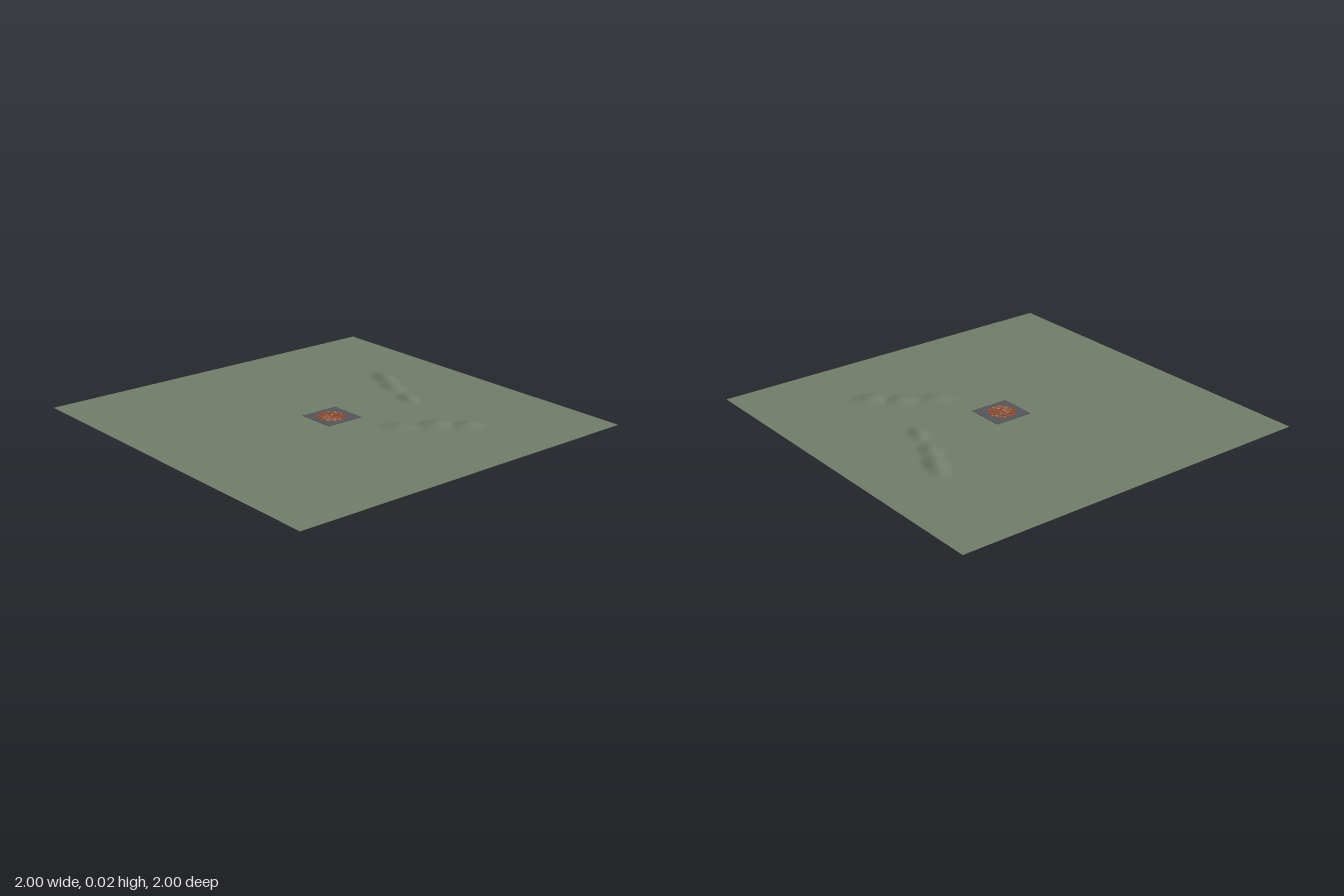
import * as THREE from 'three';
import { mergeGeometries } from 'three/addons/utils/BufferGeometryUtils.js';

const mat = (name, color, side = THREE.FrontSide) => {
  const m = new THREE.MeshStandardMaterial({ color, side });
  m.name = name;
  return m;
};

// Mounds of the two low ridges: x, z, half length, half width, height, heading
const MOUNDS = [
  [0.475, 0.05, 0.11, 0.06, 0.018, [0.28, -0.96]],
  [0.54, -0.14, 0.12, 0.07, 0.020, [0.28, -0.96]],
  [0.605, -0.27, 0.17, 0.07, 0.023, [0.35, -0.94]],
  [0.15, 0.34, 0.12, 0.085, 0.013, [0.77, 0.64]],
  [0.31, 0.43, 0.11, 0.09, 0.019, [0.77, 0.64]],
  [0.42, 0.54, 0.11, 0.09, 0.018, [0.77, 0.64]],
];

function groundHeight(x, z) {
  let y = 0;
  for (const [cx, cz, len, wid, h, [ux, uz]] of MOUNDS) {
    const dx = x - cx, dz = z - cz;
    const d = Math.hypot((dx * ux + dz * uz) / len, (dz * ux - dx * uz) / wid);
    if (d < 1) y = Math.max(y, h * 0.5 * (1 + Math.cos(Math.PI * d)));
  }
  return y;
}

export function createModel() {
  const model = new THREE.Group();
  model.name = 'groundWithPavedCircle';
  const add = (name, geometry, material) => {
    const mesh = new THREE.Mesh(geometry, material);
    mesh.name = name;
    model.add(mesh);
    return mesh;
  };

  // Square ground sheet, raised into two rows of smooth mounds
  const ground = new THREE.PlaneGeometry(2, 2, 180, 180).rotateX(-Math.PI / 2);
  const pos = ground.attributes.position;
  for (let i = 0; i < pos.count; i++) pos.setY(i, groundHeight(pos.getX(i), pos.getZ(i)));
  ground.computeVertexNormals();
  add('ground', ground, mat('grass', 0x737d6a, THREE.DoubleSide));

  // Thin square slab
  add('slab', new THREE.BoxGeometry(0.21, 0.002, 0.205), mat('slate', 0x55555b)).position.set(0, 0.001, 0.007);

  // Paved disc: mortar bed with concentric rings of small bricks
  const cx = -0.005, cz = 0.007;
  add('mortarBed', new THREE.CylinderGeometry(0.072, 0.072, 0.0006, 48), mat('mortar', 0x6b5a50))
    .position.set(cx, 0.0023, cz);

  const bricks = [[], [], []];
  const rings = 7, step = 0.0102;
  for (let r = 0; r < rings; r++) {
    const inner = r * step + 0.0012, outer = (r + 1) * step - 0.0006;
    const count = r === 0 ? 4 : r * 6;
    const slot = (2 * Math.PI) / count;
    for (let i = 0; i < count; i++) {
      const brick = new THREE.RingGeometry(inner, outer, 2, 1, (i + (r % 2) / 2) * slot, slot * 0.86);
      bricks[(i * 5 + r * 3) % 7 < 4 ? 0 : (i + r) % 3 ? 1 : 2].push(brick);
    }
  }
  const brickMaterials = [mat('rustBrick', 0xa04a28), mat('darkBrick', 0x7c3a24), mat('paleBrick', 0xa58a72)];
  ['rustBricks', 'darkBricks', 'paleBricks'].forEach((name, k) => {
    const geometry = mergeGeometries(bricks[k]).rotateX(-Math.PI / 2);
    add(name, geometry, brickMaterials[k]).position.set(cx, 0.0029, cz);
  });

  return model;
}
